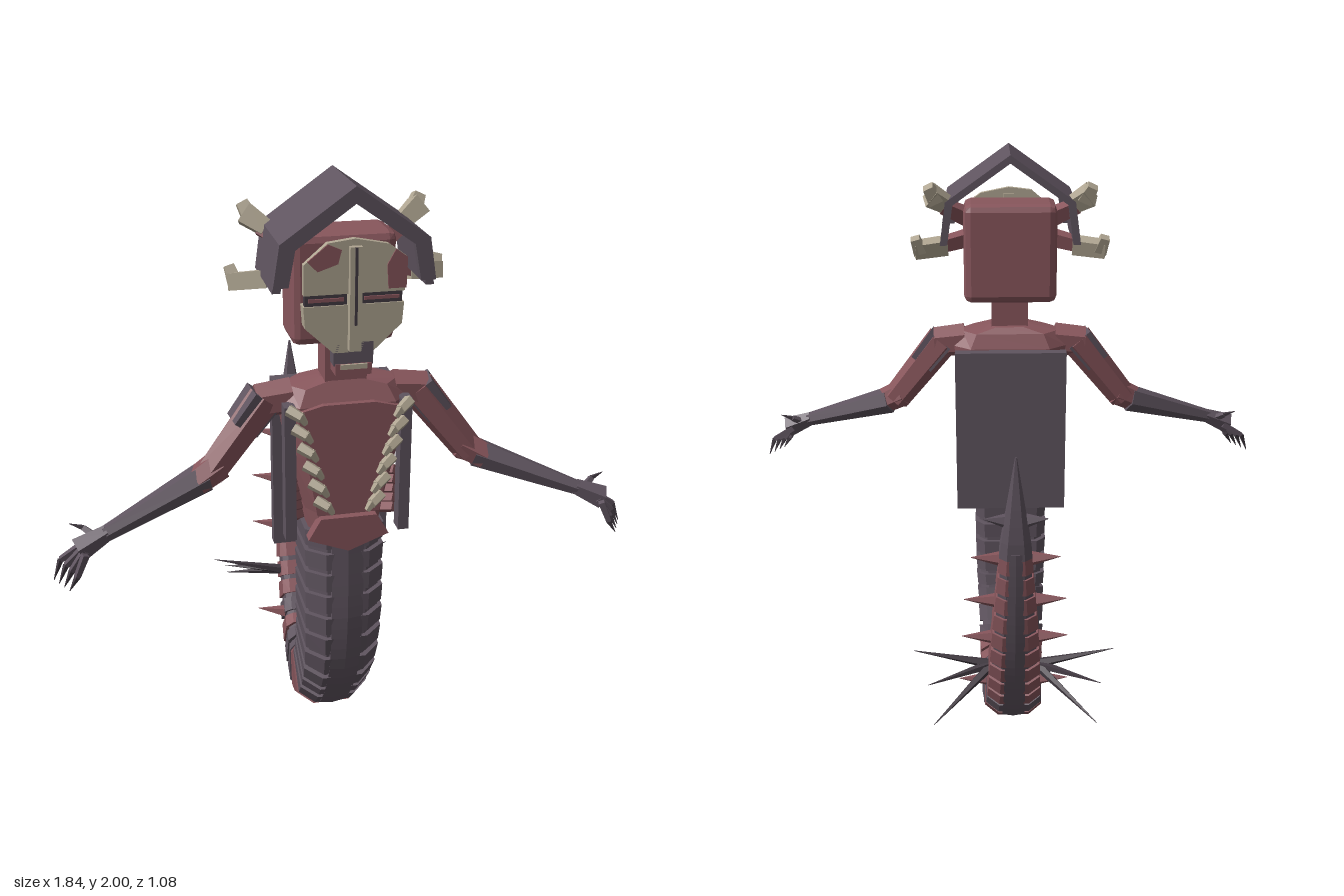
import * as THREE from 'three';
import { RoundedBoxGeometry } from 'three/addons/geometries/RoundedBoxGeometry.js';

const V = (x, y, z) => new THREE.Vector3(x, y, z);

function material(name, color) {
  const m = new THREE.MeshStandardMaterial({ color });
  m.name = name;
  return m;
}

// Closed solid through rings of equal point count, faced outwards
function loft(rings) {
  const n = rings[0].length, pos = [];
  const tri = (a, b, c) => pos.push([a, b, c]);
  for (let i = 0; i < rings.length - 1; i++) {
    for (let j = 0; j < n; j++) {
      const k = (j + 1) % n, A = rings[i], B = rings[i + 1];
      tri(A[j], A[k], B[k]);
      tri(A[j], B[k], B[j]);
    }
  }
  const last = rings[rings.length - 1];
  for (let j = 1; j < n - 1; j++) {
    tri(rings[0][0], rings[0][j + 1], rings[0][j]);
    tri(last[0], last[j], last[j + 1]);
  }
  const o = rings[0][0];
  let volume = 0;
  for (const [a, b, c] of pos) volume += a.clone().sub(o).dot(b.clone().sub(o).cross(c.clone().sub(o)));
  const points = pos.flatMap(([a, b, c]) => (volume < 0 ? [a, c, b] : [a, b, c]));
  return new THREE.BufferGeometry().setFromPoints(points);
}

export function createModel() {
  const root = new THREE.Group();
  root.name = 'serpentCreature';
  const red = material('dull red', 0x88565c);
  const grey = material('purple grey', 0x5f545f);
  const bone = material('bone', 0xb0a692);
  const dark = material('dark grey', 0x433b43);

  // Faceted mesh
  function add(name, geometry, mat) {
    const g = geometry.index ? geometry.toNonIndexed() : geometry;
    g.computeVertexNormals();
    const mesh = new THREE.Mesh(g, mat);
    mesh.name = name;
    root.add(mesh);
    return mesh;
  }
  function box(name, mat, x0, x1, y0, y1, z0, z1) {
    const g = new THREE.BoxGeometry(Math.abs(x1 - x0), y1 - y0, z1 - z0);
    g.translate((x0 + x1) / 2, (y0 + y1) / 2, (z0 + z1) / 2);
    return add(name, g, mat);
  }
  // Tapered bar from a to b
  function bar(name, mat, a, b, r0, r1, sides = 6) {
    const d = b.clone().sub(a);
    const g = new THREE.CylinderGeometry(r1, r0, d.length(), sides);
    g.rotateY(Math.PI / sides);
    g.applyQuaternion(new THREE.Quaternion().setFromUnitVectors(V(0, 1, 0), d.normalize()));
    g.translate((a.x + b.x) / 2, (a.y + b.y) / 2, (a.z + b.z) / 2);
    return add(name, g, mat);
  }
  // Flat outline extruded along z
  function plate(name, mat, points, z0, z1, s = 1) {
    const shape = new THREE.Shape(points.map(([x, y]) => new THREE.Vector2(x * s, y)));
    const g = new THREE.ExtrudeGeometry(shape, { depth: z1 - z0, bevelEnabled: false });
    return add(name, g.translate(0, 0, z0), mat);
  }

  // Tail path with half width and half depth at each point: z, y, width, depth
  const stations = [
    [0.31, 0.89, 0.13, 0.13], [0.31, 0.55, 0.13, 0.13], [0.28, 0.38, 0.125, 0.125],
    [0.22, 0.27, 0.12, 0.118], [0.15, 0.175, 0.118, 0.11], [0.01, 0.11, 0.11, 0.103],
    [-0.15, 0.16, 0.1, 0.09], [-0.265, 0.27, 0.092, 0.08], [-0.365, 0.43, 0.085, 0.068],
    [-0.43, 0.6, 0.075, 0.058], [-0.495, 0.9, 0.05, 0.045], [-0.52, 1.21, 0.003, 0.003],
  ];
  const path = new THREE.CatmullRomCurve3(stations.map(([z, y]) => V(0, y, z)));
  const section = [[-0.55, 1], [0.55, 1], [1, 0.6], [1, -0.7], [0.75, -1], [-0.75, -1], [-1, -0.7], [-1, 0.6]];
  function tailRing(u, scale, outline = section) {
    const t = path.getUtoTmapping(u), f = t * (stations.length - 1);
    const i = Math.min(Math.floor(f), stations.length - 2);
    const at = (k) => THREE.MathUtils.lerp(stations[i][k], stations[i + 1][k], f - i) * scale;
    const c = path.getPoint(t), d = path.getTangent(t);
    const outward = V(0, d.z, -d.y);
    return outline.map(([x, h]) => V(x * at(2), 0, 0).addScaledVector(outward, h * at(3)).add(c));
  }
  const ringRun = (u0, u1, n, scale, outline) =>
    Array.from({ length: n + 1 }, (_, i) => tailRing(u0 + ((u1 - u0) * i) / n, scale, outline));

  const count = 25, tipStart = 0.86;
  add('tailCore', loft(ringRun(0, tipStart, 50, 0.89)), grey);
  add('tailSpine', loft(ringRun(0, tipStart, 50, 1, [[-0.4, 0.99], [0, 1.05], [0.4, 0.99], [0.4, 0.8], [-0.4, 0.8]])), grey);
  for (let i = 0; i < count; i++) {
    const step = tipStart / count, isRed = i === 10 || i === 11 || i === 14 || i > 15;
    add('tailSegment', loft([tailRing(i * step, 1), tailRing((i + 0.76) * step, 0.98)]), isRed ? red : grey);
  }
  add('tailTip', loft(ringRun(tipStart - 0.01, 1, 6, 1)), grey);

  // Torso: y, half width, back z, front z
  const torso = [
    [0.85, 0.11, 0.22, 0.42], [0.96, 0.125, 0.23, 0.425], [1.15, 0.17, 0.22, 0.43],
    [1.32, 0.2, 0.23, 0.425], [1.37, 0.17, 0.25, 0.4], [1.39, 0.07, 0.27, 0.39],
  ];
  add('torso', loft(torso.map(([y, w, b, f]) => [
    V(-w, y, b + 0.05), V(-w * 0.7, y, b), V(w * 0.7, y, b), V(w, y, b + 0.05),
    V(w, y, f - 0.05), V(w * 0.75, y, f), V(-w * 0.75, y, f), V(-w, y, f - 0.05)])), red);
  plate('chestPanel', red, [[-0.1, 0.96], [0.1, 0.96], [0.16, 1.31], [0.08, 1.33], [-0.08, 1.33], [-0.16, 1.31]], 0.42, 0.44);
  plate('hipPlate', red, [[-0.13, 0.88], [0, 0.83], [0.13, 0.88], [0.09, 0.95], [-0.09, 0.95]], 0.41, 0.45);
  box('backPlate', grey, -0.195, 0.195, 0.74, 1.33, 0.15, 0.19);
  box('neck', red, -0.065, 0.065, 1.36, 1.54, 0.29, 0.39);

  // Head and mask
  add('head', new RoundedBoxGeometry(0.32, 0.34, 0.175, 1, 0.025).translate(0, 1.665, 0.278), red);
  plate('forehead', bone, [[-0.15, 1.69], [0.15, 1.69], [0.155, 1.79], [0.1, 1.83], [0, 1.85], [-0.08, 1.84], [-0.15, 1.78]], 0.465, 0.485);
  plate('foreheadPatch', red, [[-0.14, 1.79], [-0.11, 1.76], [-0.05, 1.78], [-0.04, 1.82], [-0.08, 1.838]], 0.484, 0.49);
  plate('templePatch', red, [[0.1, 1.7], [0.153, 1.7], [0.155, 1.79], [0.12, 1.815], [0.095, 1.77]], 0.484, 0.49);
  box('noseRidge', bone, -0.018, 0.018, 1.52, 1.83, 0.45, 0.505);
  box('noseGroove', dark, -0.004, 0.004, 1.6, 1.83, 0.5, 0.508);
  box('mouth', grey, -0.06, 0.06, 1.47, 1.54, 0.43, 0.48);
  box('jaw', red, -0.055, 0.055, 1.44, 1.475, 0.42, 0.485);
  box('teeth', bone, -0.04, 0.04, 1.46, 1.475, 0.483, 0.49);

  // Gabled hood
  const hood = (t, drop) => [
    [0, 2], [0.22, 1.845], [0.24, drop], [0.24 - t, drop], [0.22 - t, 1.845 - t * 0.4], [0, 2 - t * 1.1]];

  for (const s of [1, -1]) {
    const P = (x, y, z) => V(x * s, y, z);
    plate('hoodSide', grey, hood(0.025, 1.7), 0.19, 0.476, s);
    plate('hoodRim', grey, hood(0.045, 1.72), 0.47, 0.495, s);
    plate('cheek', bone, [[0.015, 1.655], [0.15, 1.655], [0.145, 1.59], [0.06, 1.51], [0.015, 1.51]], 0.435, 0.48, s);
    box('eyeSlit', dark, 0.02 * s, 0.145 * s, 1.655, 1.69, 0.455, 0.475);
    box('eyeLid', red, 0.03 * s, 0.135 * s, 1.667, 1.677, 0.474, 0.48);

    // Horns
    bar('upperHorn', red, P(0.1, 1.76, 0.28), P(0.23, 1.83, 0.22), 0.04, 0.03, 4);
    bar('upperHornKnob', bone, P(0.21, 1.83, 0.23), P(0.27, 1.87, 0.2), 0.035, 0.045, 4);
    bar('upperHornTip', bone, P(0.25, 1.85, 0.2), P(0.275, 1.9, 0.18), 0.035, 0.025, 4);
    bar('lowerHorn', red, P(0.14, 1.71, 0.28), P(0.25, 1.685, 0.26), 0.035, 0.03, 4);
    bar('lowerHornKnob', bone, P(0.22, 1.685, 0.265), P(0.33, 1.675, 0.24), 0.038, 0.036, 4);
    bar('lowerHornTip', bone, P(0.31, 1.67, 0.24), P(0.325, 1.72, 0.22), 0.03, 0.022, 4);

    // Side strip, ribs and gills
    box('sideStrip', grey, 0.165 * s, 0.2 * s, 0.88, 1.33, 0.385, 0.435);
    for (let i = 0; i < 6; i++) {
      const x = 0.175 - i * 0.017, y = 1.315 - i * 0.062;
      bar('rib', bone, P(x + 0.015, y + 0.012, 0.44), P(x - 0.022, y - 0.008, 0.465), 0.02, 0.017, 5);
      bar('ribTip', bone, P(x - 0.015, y, 0.462), P(x - 0.035, y - 0.03, 0.462), 0.016, 0.01, 5);
    }
    for (let i = 0; i < 5; i++) {
      const y = 0.9 + i * 0.033;
      bar('gill', red, P(0.13, y, 0.29), P(0.175, y + 0.025, 0.36), 0.028, 0.02, 4);
    }

    // Arm
    const elbow = P(0.42, 1.1, 0.35), wrist = P(0.76, 0.98, 0.46);
    bar('shoulder', red, P(0.16, 1.33, 0.33), P(0.27, 1.32, 0.33), 0.06, 0.055);
    bar('upperArm', red, P(0.24, 1.33, 0.33), elbow, 0.06, 0.05);
    bar('armPad', grey, P(0.245, 1.335, 0.332), P(0.315, 1.245, 0.337), 0.068, 0.062, 4);
    bar('elbow', red, P(0.39, 1.125, 0.345), P(0.47, 1.082, 0.367), 0.05, 0.046);
    bar('forearm', grey, P(0.44, 1.093, 0.356), wrist, 0.05, 0.025);
    bar('palm', grey, P(0.75, 0.985, 0.457), P(0.84, 0.945, 0.475), 0.026, 0.04, 5);
    bar('thumb', grey, P(0.79, 0.975, 0.45), P(0.82, 0.995, 0.43), 0.014, 0.011, 4);
    bar('thumbClaw', dark, P(0.82, 0.995, 0.43), P(0.86, 1.01, 0.425), 0.009, 0.001, 4);
    for (let i = 0; i < 4; i++) {
      const z = 0.445 + i * 0.025, x = 0.895 - i * 0.015;
      const knuckle = P(x, 0.905 - i * 0.008, z + 0.005), tip = P(x + 0.025, 0.84, z + 0.01);
      bar('finger', grey, P(0.82, 0.95, z), knuckle, 0.014, 0.011, 4);
      bar('claw', dark, knuckle, tip, 0.01, 0.001, 4);
    }

    // Tail spikes
    for (const [x, y, z] of [[0.34, 0.42, -0.31], [0.29, 0.34, -0.4], [0.27, 0.25, -0.5]])
      bar('longSpike', dark, P(0.075, 0.355, -0.295), P(x, y, z), 0.018, 0.001, 5);
    for (const [base, y, z, tip] of [
      [0.09, 0.23, -0.19, 0.19], [0.075, 0.51, -0.375, 0.175], [0.065, 0.68, -0.435, 0.165],
      [0.05, 0.85, -0.475, 0.14], [0.03, 0.99, -0.495, 0.1]])
      bar('smallSpike', y > 0.95 ? grey : red, P(base, y, z), P(tip, y + 0.015, z - 0.02), 0.024, 0.001, 5);
  }
  return root;
}
